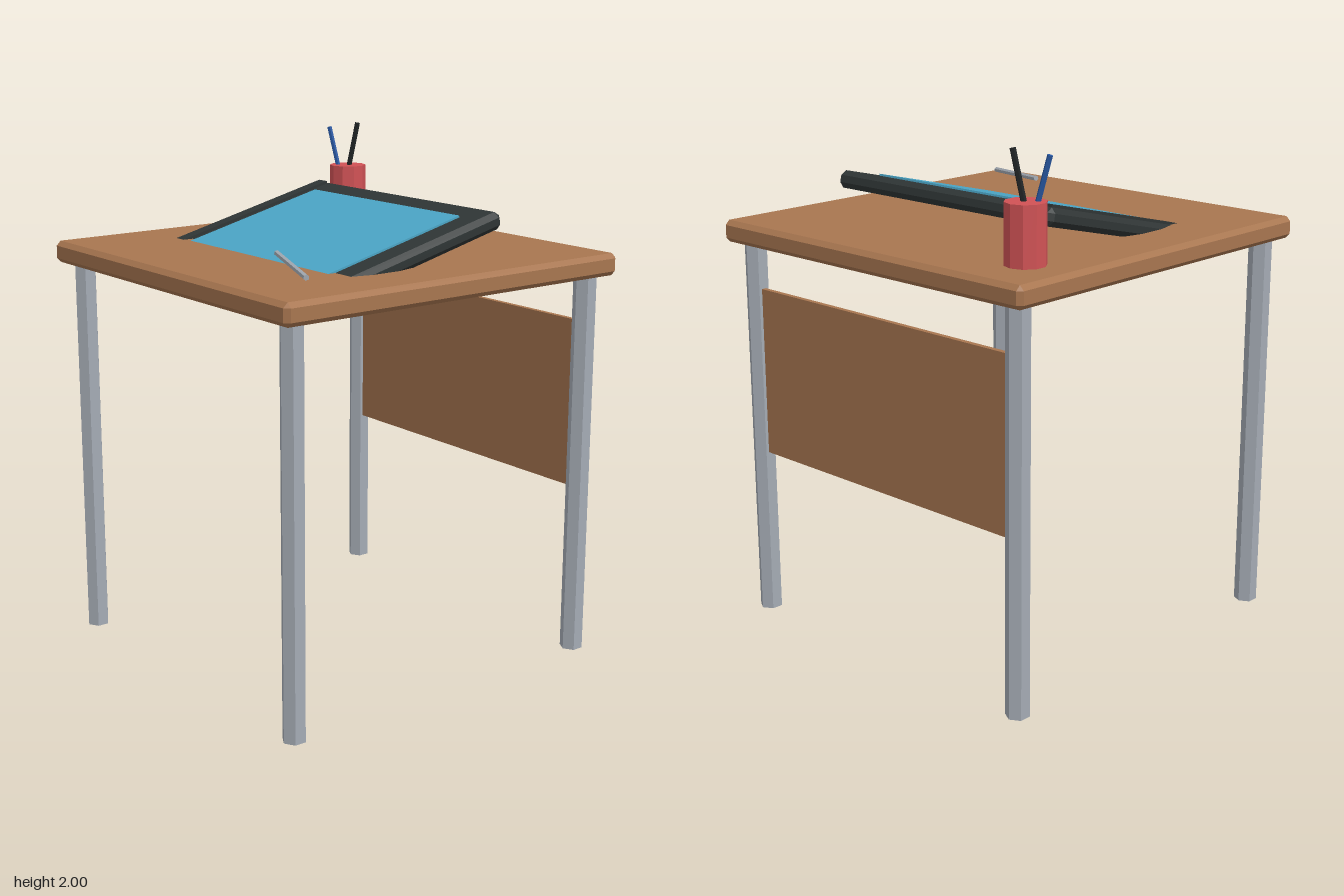
import * as THREE from 'three';
import { ConvexGeometry } from 'three/addons/geometries/ConvexGeometry.js';

const mat = (name, color) => {
  const m = new THREE.MeshStandardMaterial({ color, flatShading: true });
  m.name = name;
  return m;
};

// Box with every edge cut by a single flat chamfer
function chamferBox(w, h, d, c) {
  const points = [];
  const half = [w / 2, h / 2, d / 2];
  for (const sx of [-1, 1]) for (const sy of [-1, 1]) for (const sz of [-1, 1])
    for (let outer = 0; outer < 3; outer++) {
      const p = half.map((v, i) => (i === outer ? v : v - c));
      points.push(new THREE.Vector3(sx * p[0], sy * p[1], sz * p[2]));
    }
  return new ConvexGeometry(points);
}

function add(parent, name, geometry, material, x = 0, y = 0, z = 0) {
  const mesh = new THREE.Mesh(geometry, material);
  mesh.name = name;
  mesh.position.set(x, y, z);
  parent.add(mesh);
  return mesh;
}

// Six-sided rod between two points
function rod(parent, name, material, from, to, radius) {
  const a = new THREE.Vector3(...from), b = new THREE.Vector3(...to);
  const dir = b.clone().sub(a);
  const mesh = add(parent, name, new THREE.CylinderGeometry(radius, radius, dir.length(), 6), material);
  mesh.position.copy(a).add(b).multiplyScalar(0.5);
  mesh.quaternion.setFromUnitVectors(new THREE.Vector3(0, 1, 0), dir.normalize());
  return mesh;
}

export function createModel() {
  const wood = mat('wood', 0xa87650);
  const metal = mat('metal', 0xa4abb4);
  const dark = mat('darkPlastic', 0x2f3535);
  const glass = mat('screenBlue', 0x4ba5c6);
  const red = mat('cupRed', 0xd05255);
  const blue = mat('penBlue', 0x2858a4);
  const black = mat('penBlack', 0x212526);

  const model = new THREE.Group();
  model.name = 'drawingDesk';

  // Desk
  add(model, 'tableTop', chamferBox(1.55, 0.085, 1.55, 0.018), wood, 0, 1.558, 0);
  add(model, 'backPanel', new THREE.BoxGeometry(1.37, 0.665, 0.02), wood, 0, 1.003, -0.69);
  for (const x of [-0.687, 0.687]) for (const z of [-0.69, 0.69])
    add(model, 'leg', new THREE.CylinderGeometry(0.045, 0.045, 1.52, 6), metal, x, 0.76, z);

  // Tilted display, its front edge sunk through the table top
  const tablet = new THREE.Group();
  tablet.name = 'displayTablet';
  tablet.position.set(0, 1.632, 0.05);
  tablet.rotation.x = THREE.MathUtils.degToRad(13.8);
  add(tablet, 'tabletBody', chamferBox(1.11, 0.068, 0.89, 0.02), dark);
  add(tablet, 'screen', new THREE.BoxGeometry(0.89, 0.009, 0.74), glass, 0, 0.037, 0.04);
  add(tablet, 'buttonStrip', new THREE.BoxGeometry(0.052, 0.014, 0.81), dark, -0.505, 0.037, -0.015);
  model.add(tablet);

  // Cup with two pens
  add(model, 'penCup', new THREE.CylinderGeometry(0.076, 0.076, 0.225, 10), red, -0.577, 1.7075, -0.535);
  rod(model, 'bluePen', blue, [-0.598, 1.78, -0.51], [-0.645, 1.978, -0.489], 0.01);
  rod(model, 'blackPen', black, [-0.579, 1.78, -0.535], [-0.536, 1.998, -0.555], 0.011);

  // Stylus above the desk
  rod(model, 'stylus', metal, [0.268, 1.661, 0.447], [0.615, 1.639, 0.575], 0.011);

  return model;
}
